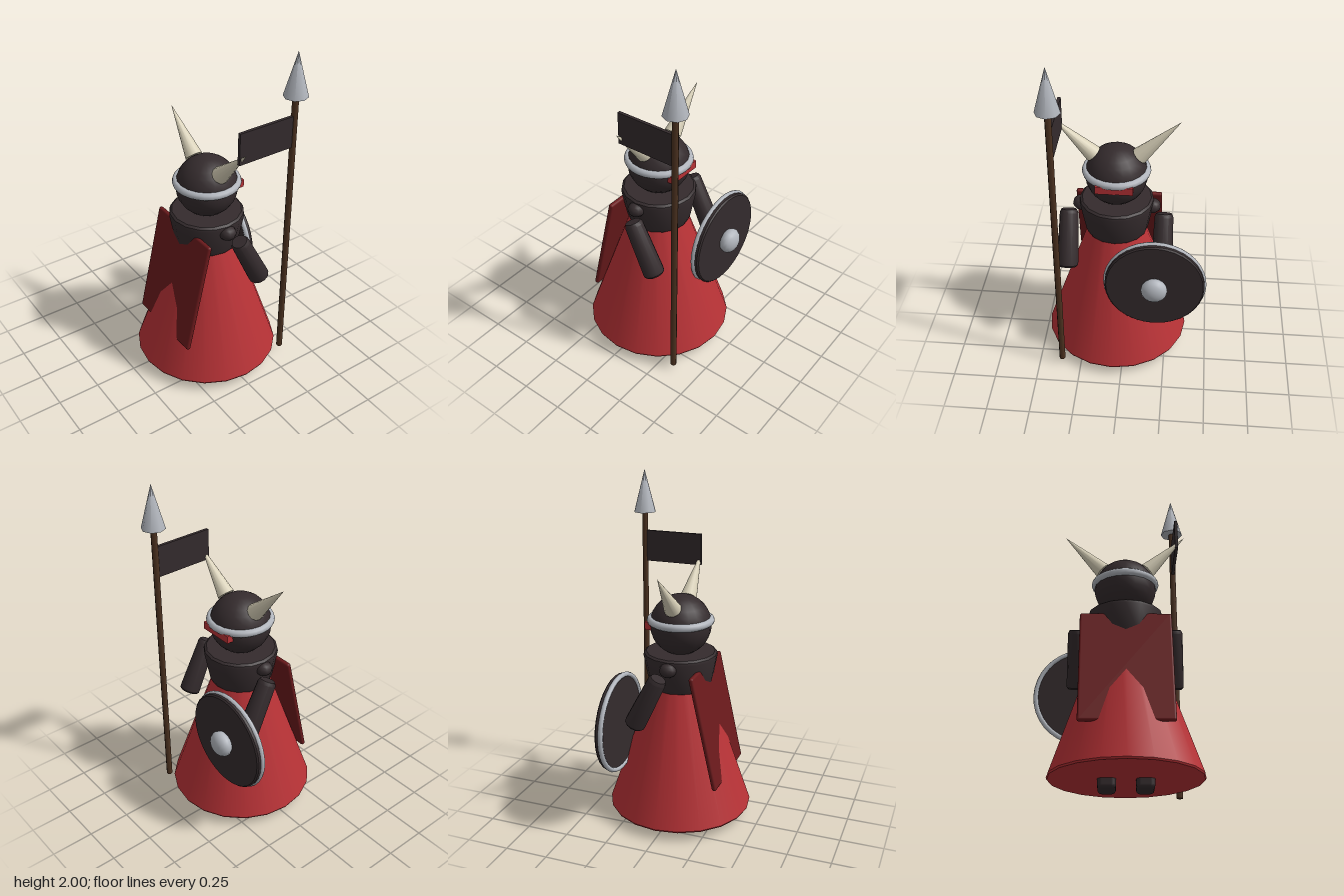
import * as THREE from 'three';
import { toCreasedNormals } from 'three/addons/utils/BufferGeometryUtils.js';
import { RoundedBoxGeometry } from 'three/addons/geometries/RoundedBoxGeometry.js';

const mat = (name, color) => {
  const m = new THREE.MeshStandardMaterial({ color });
  m.name = name;
  return m;
};

export function createModel() {
  const red = mat('robe red', 0xb83236);
  const darkRed = mat('cape dark red', 0x6b1a1c);
  const dark = mat('charcoal', 0x342b2d);
  const steel = mat('steel', 0xb2b6bd);
  const bone = mat('bone', 0xd8d0b8);
  const wood = mat('wood', 0x4c3220);

  const model = new THREE.Group();
  const body = new THREE.Group(); // figure looks along +x
  body.name = 'body';
  body.position.z = 0.055;
  model.add(body);

  const add = (parent, name, geometry, material, x = 0, y = 0, z = 0) => {
    const mesh = new THREE.Mesh(geometry, material);
    mesh.name = name;
    mesh.position.set(x, y, z);
    parent.add(mesh);
    return mesh;
  };
  // closed turned shape with sharp rims, from [radius, height] pairs
  const turned = (profile, sides) => toCreasedNormals(
    new THREE.LatheGeometry(profile.map(([r, y]) => new THREE.Vector2(r, y)), sides), 0.55);
  // aim a mesh's y axis along a direction
  const aim = (mesh, x, y, z) => mesh.quaternion.setFromUnitVectors(
    new THREE.Vector3(0, 1, 0), new THREE.Vector3(x, y, z).normalize());

  // robe and mantle
  add(body, 'robe', turned([[0, 0.055], [0.42, 0.055], [0.425, 0.065], [0.12, 0.95], [0, 0.95]], 20), red);
  add(body, 'mantle', turned([[0, 0.81], [0.178, 0.81], [0.185, 0.83], [0.216, 0.995],
    [0.213, 1.01], [0.2, 1.02], [0, 1.02]], 16), dark);

  // cape, a slanted slab the robe pushes through
  const cape = add(body, 'cape', new RoundedBoxGeometry(0.028, 0.685, 0.51, 2, 0.012), darkRed, -0.224, 0.616, 0);
  cape.rotation.z = -0.22;

  // head, helmet band and visor
  add(body, 'head', new THREE.SphereGeometry(0.178, 20, 14), dark, 0, 1.177, 0);
  const band = add(body, 'helmetBand', new THREE.TorusGeometry(0.172, 0.023, 10, 28), steel, 0, 1.205, 0);
  band.rotation.x = Math.PI / 2;
  add(body, 'visor', new THREE.BoxGeometry(0.04, 0.046, 0.21), red, 0.16, 1.177, 0);

  // paired parts
  for (const side of [1, -1]) {
    const horn = add(body, 'horn', new THREE.ConeGeometry(0.05, 0.32, 12), bone, 0, 1.413, side * 0.241);
    aim(horn, 0, 1, side);

    add(body, 'shoulder', new THREE.SphereGeometry(0.05, 10, 8), dark, 0, 0.965, side * 0.205).scale.y = 0.85;

    const arm = add(body, 'arm', turned([[0, -0.17], [0.053, -0.17], [0.061, -0.16], [0.062, -0.14],
      [0.054, 0.15], [0.045, 0.17], [0, 0.17]], 12), dark, 0.106, 0.782, side * 0.275);
    aim(arm, -0.152, 0.305, 0);

    add(body, 'foot', new RoundedBoxGeometry(0.167, 0.11, 0.1, 2, 0.025), dark, 0.034, 0.055, side * 0.103);
  }

  // round shield facing +x
  const shield = new THREE.Group();
  shield.name = 'shield';
  shield.position.set(0.28, 0.62, -0.185);
  shield.rotation.z = -Math.PI / 2;
  model.add(shield);
  add(shield, 'shieldBoard', turned([[0, -0.005], [0.28, -0.005], [0.286, 0], [0.286, 0.028],
    [0.278, 0.036], [0, 0.036]], 32), dark);
  add(shield, 'shieldRim', new THREE.TorusGeometry(0.281, 0.015, 8, 36), steel).rotation.x = Math.PI / 2;
  add(shield, 'shieldBoss', new THREE.SphereGeometry(0.076, 16, 12), steel, 0, 0.064, 0).scale.y = 0.68;

  // spear with banner
  const spear = new THREE.Group();
  spear.name = 'spear';
  spear.position.set(0.343, 0, 0.363);
  model.add(spear);
  add(spear, 'pole', new THREE.CylinderGeometry(0.018, 0.018, 1.72, 8), wood, 0, 0.895, 0);
  add(spear, 'spearHead', new THREE.ConeGeometry(0.068, 0.25, 8), steel, 0, 1.875, 0);
  add(spear, 'banner', new THREE.BoxGeometry(0.345, 0.185, 0.018), dark, -0.186, 1.547, 0);

  return model;
}
